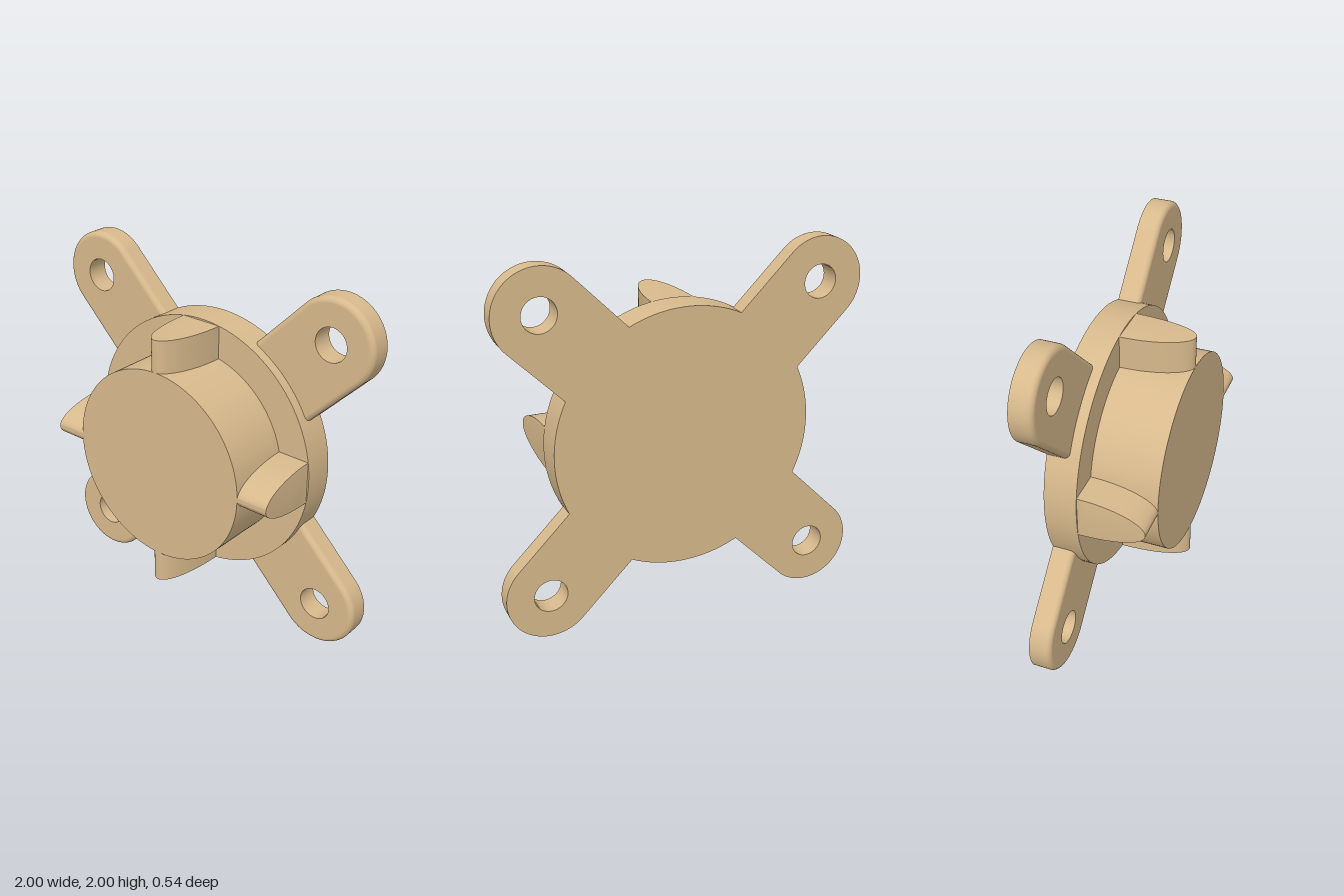
import * as THREE from 'three';
import { toCreasedNormals } from 'three/addons/utils/BufferGeometryUtils.js';

const BACK = -0.27, STEP = -0.095, FRONT = 0.27;
const DISC_R = 0.715, BOSS_R = 0.537;
const ARM_R = 0.24, ARM_DEPTH = 0.12, FILLET = 0.03, HOLE_R = 0.091, HOLE_X = 1.075;

// Cylinder along z between two depths
function discGeometry(radius, z0, z1) {
  return new THREE.CylinderGeometry(radius, radius, z1 - z0, 128)
    .rotateX(Math.PI / 2).translate(0, 0, (z0 + z1) / 2);
}

// Round-ended arm along +x with a bolt hole and a filleted front rim
function armGeometry() {
  const shape = new THREE.Shape();
  shape.moveTo(0.64, -ARM_R);
  shape.lineTo(HOLE_X, -ARM_R);
  shape.absarc(HOLE_X, 0, ARM_R, -Math.PI / 2, Math.PI / 2, false);
  shape.lineTo(0.64, ARM_R);
  const hole = new THREE.Path();
  hole.absarc(HOLE_X, 0, HOLE_R, 0, Math.PI * 2, true);
  shape.holes.push(hole);

  const steps = 8;
  const geo = new THREE.ExtrudeGeometry(shape, {
    depth: steps, steps, bevelEnabled: false, curveSegments: 32,
  });
  const pos = geo.attributes.position, nor = geo.attributes.normal;
  for (let i = 0; i < pos.count; i++) {
    const x = pos.getX(i), y = pos.getY(i), k = Math.round(pos.getZ(i));
    const isSide = Math.abs(nor.getZ(i)) < 0.5;
    const isHole = Math.hypot(x - HOLE_X, y) < HOLE_R * 1.2;
    // first step is the straight wall, the rest sweep the fillet
    const a = k === 0 ? 0 : ((k - 1) / (steps - 1)) * Math.PI / 2;
    const z = k === 0 ? 0 : ARM_DEPTH - FILLET + FILLET * Math.sin(a);
    if (isHole) {
      pos.setZ(i, z);
      if (isSide) nor.setXYZ(i, (HOLE_X - x) / HOLE_R, -y / HOLE_R, 0);
      continue;
    }
    const axisX = Math.min(x, HOLE_X);
    const dx = (x - axisX) / ARM_R, dy = y / ARM_R;
    const r = ARM_R - FILLET * (1 - Math.cos(a));
    pos.setXYZ(i, axisX + dx * r, dy * r, z);
    if (isSide) nor.setXYZ(i, dx * Math.cos(a), dy * Math.cos(a), Math.sin(a));
  }
  return geo.translate(0, 0, BACK);
}

// Half-elliptical rib pointing down, its outer end following the disc rim
function ribGeometry() {
  const shape = new THREE.Shape();
  shape.absellipse(0, STEP, 0.118, FRONT - STEP, 0, Math.PI, false);
  const geo = new THREE.ExtrudeGeometry(shape, {
    depth: 1, bevelEnabled: false, curveSegments: 40,
  });
  const pos = geo.attributes.position;
  for (let i = 0; i < pos.count; i++) {
    const x = pos.getX(i);
    pos.setZ(i, pos.getZ(i) > 0.5 ? Math.sqrt(DISC_R ** 2 - x * x) : 0.45);
  }
  return toCreasedNormals(geo.rotateX(Math.PI / 2), 0.6);
}

export function createModel() {
  const model = new THREE.Group();
  model.name = 'mountingHub';
  const material = new THREE.MeshStandardMaterial({ color: 0xd7b98c });
  const add = (geometry, name, turn = 0) => {
    const mesh = new THREE.Mesh(geometry, material);
    mesh.name = name;
    mesh.position.y = 1;
    mesh.rotation.z = turn;
    model.add(mesh);
  };

  add(discGeometry(DISC_R, BACK, STEP), 'baseDisc');
  add(discGeometry(BOSS_R, STEP, FRONT), 'centreBoss');

  // Four diagonal arms and four ribs between them
  const arm = armGeometry(), rib = ribGeometry();
  for (let i = 0; i < 4; i++) {
    add(arm, `mountingArm${i + 1}`, Math.PI / 4 + i * Math.PI / 2);
    add(rib, `rib${i + 1}`, i * Math.PI / 2);
  }
  return model;
}
